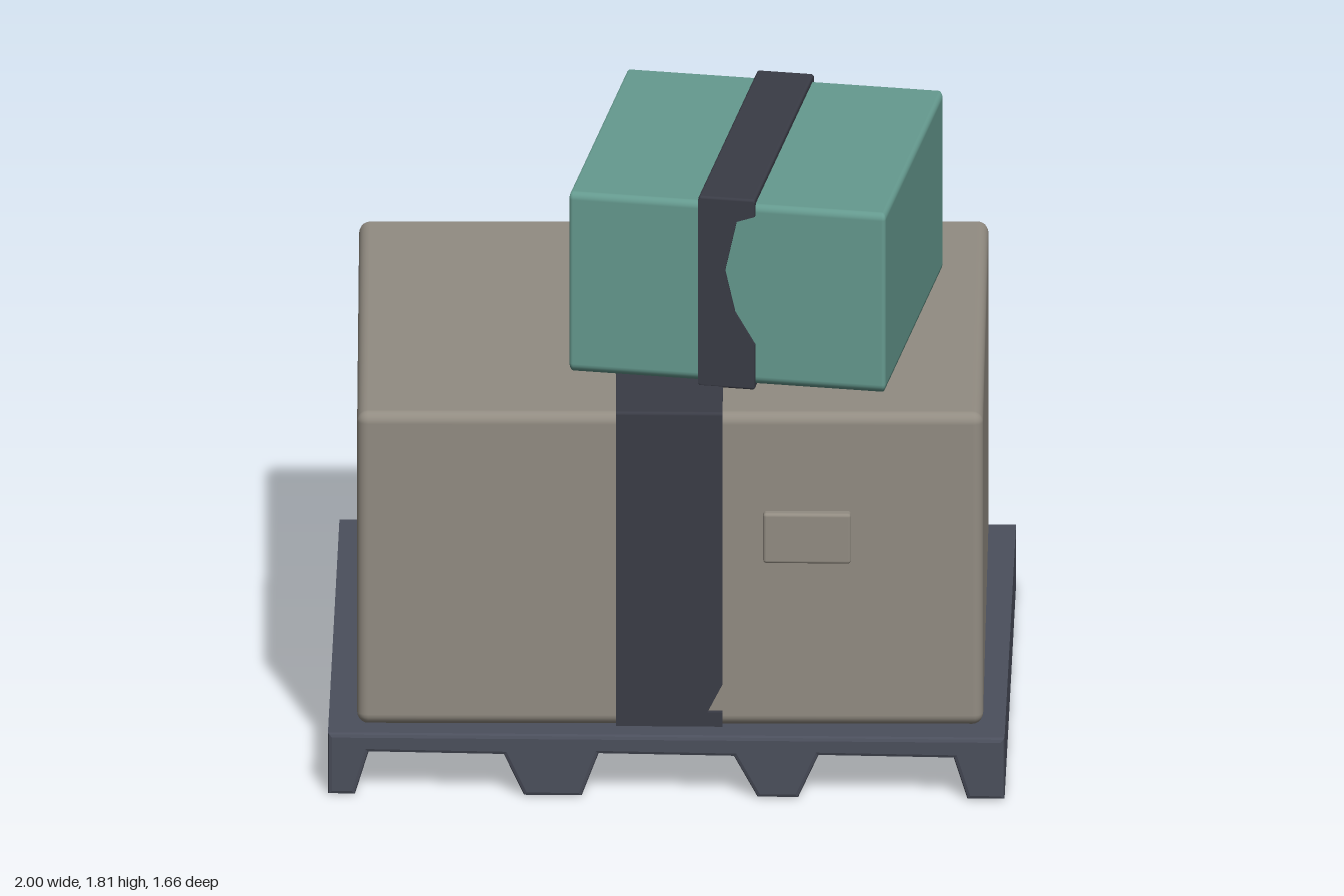
import * as THREE from 'three';
import { RoundedBoxGeometry } from 'three/addons/geometries/RoundedBoxGeometry.js';

const material = (color) => new THREE.MeshStandardMaterial({ color, side: THREE.DoubleSide });
const slate = material(0x4b4f5c);
const strapDark = material(0x3a3c46);
const cardboard = material(0x928c82);
const teal = material(0x659a8f);

function addMesh(parent, name, geometry, mat) {
  const mesh = new THREE.Mesh(geometry, mat);
  mesh.name = name;
  parent.add(mesh);
  return mesh;
}

// Rounded box whose plan is stretched between four [x, z] corners:
// back left, back right, front right, front left (in screen order seen from the front)
function planBox([a, b, c, d], y0, y1, radius) {
  const h = y1 - y0;
  const geo = new RoundedBoxGeometry(2, h, 2, 3, radius);
  const p = geo.attributes.position;
  for (let i = 0; i < p.count; i++) {
    const u = (p.getX(i) + 1) / 2, v = (p.getZ(i) + 1) / 2;
    const mix = (k) => (1 - v) * ((1 - u) * a[k] + u * b[k]) + v * ((1 - u) * d[k] + u * c[k]);
    p.setXYZ(i, mix(0), p.getY(i) + y0 + h / 2, mix(1));
  }
  return geo;
}

// Flat outline extruded along z from z0 to z1
function slab(points, z0, z1, bevel = 0) {
  const shape = new THREE.Shape(points.map(([x, y]) => new THREE.Vector2(x, y)));
  const geo = new THREE.ExtrudeGeometry(shape, {
    depth: z1 - z0 - 2 * bevel, bevelEnabled: bevel > 0, bevelSegments: 2,
    bevelThickness: bevel, bevelSize: bevel, bevelOffset: -bevel,
  });
  return geo.translate(0, 0, z0 + bevel);
}

function createPallet() {
  const pallet = new THREE.Group();
  pallet.name = 'pallet';
  // Front half with three channels between tapered feet
  const front = [[-1, 0.2], [-1, 0.005]];
  const channels = [[-0.92, -0.88, -0.48, -0.42], [-0.25, -0.2, 0.2, 0.27], [0.39, 0.45, 0.85, 0.89]];
  for (const [x0, x1, x2, x3] of channels) {
    front.push([x0, 0.005], [x1, 0.14], [x2, 0.135], [x3, 0.005]);
  }
  front.push([1, 0.005], [1, 0.2]);
  addMesh(pallet, 'palletFrontWithFeet', slab(front, -0.03, 0.83, 0.012), slate);
  // Solid back half
  const back = [[-1, 0.2], [-1, 0.005], [1, 0.005], [1, 0.2]];
  addMesh(pallet, 'palletBack', slab(back, -0.83, 0.0, 0.012), slate);
  return pallet;
}

function createLargeBox() {
  const box = new THREE.Group();
  box.name = 'largeBox';
  addMesh(box, 'largeCarton',
    planBox([[-0.94, -0.73], [0.92, -0.77], [0.935, 0.735], [-0.915, 0.765]], 0.2, 1.2, 0.035), cardboard);
  // Strap over the front, top and back
  const frontStrap = [[-0.15, 0.205], [0.165, 0.205], [0.165, 0.25], [0.12, 0.25], [0.165, 0.34],
    [0.165, 1.195], [-0.15, 1.195]];
  addMesh(box, 'largeStrapFront', slab(frontStrap, 0.735, 0.764), strapDark);
  const backStrap = [[-0.18, 0.205], [0.145, 0.205], [0.145, 1.195], [-0.18, 1.195]];
  addMesh(box, 'largeStrapBack', slab(backStrap, -0.764, -0.735), strapDark);
  addMesh(box, 'largeStrapTop',
    planBox([[-0.18, -0.764], [0.145, -0.764], [0.165, 0.764], [-0.15, 0.764]], 1.185, 1.21, 0.01), strapDark);
  // Label plate
  const label = addMesh(box, 'label', new RoundedBoxGeometry(0.26, 0.16, 0.04, 2, 0.01), cardboard);
  label.position.set(0.415, 0.81, 0.75);
  return box;
}

function createSmallBox() {
  const box = new THREE.Group();
  box.name = 'smallBox';
  addMesh(box, 'smallCarton',
    planBox([[-0.475, -0.485], [0.475, -0.485], [0.475, 0.485], [-0.475, 0.485]], 1.22, 1.795, 0.025), teal);
  // Strap panels at front and back, worn in along one edge
  const worn = [[-0.085, 1.215], [0.085, 1.215], [0.085, 1.35], [0.025, 1.45], [-0.005, 1.58],
    [0.03, 1.74], [0.085, 1.76], [0.085, 1.805], [-0.085, 1.805]];
  addMesh(box, 'smallStrapFront', slab(worn, 0.475, 0.495), strapDark);
  addMesh(box, 'smallStrapBack', slab(worn, -0.495, -0.475), strapDark);
  // Strap panels above and below
  for (const [name, y] of [['smallStrapTop', 1.802], ['smallStrapBottom', 1.217]]) {
    const strip = addMesh(box, name, new RoundedBoxGeometry(0.17, 0.024, 0.99, 2, 0.008), strapDark);
    strip.position.y = y;
  }
  box.position.set(0.25, 0, 0.075);
  box.rotation.y = -0.157;
  return box;
}

export function createModel() {
  const model = new THREE.Group();
  model.name = 'loadedPallet';
  model.add(createPallet(), createLargeBox(), createSmallBox());
  return model;
}
